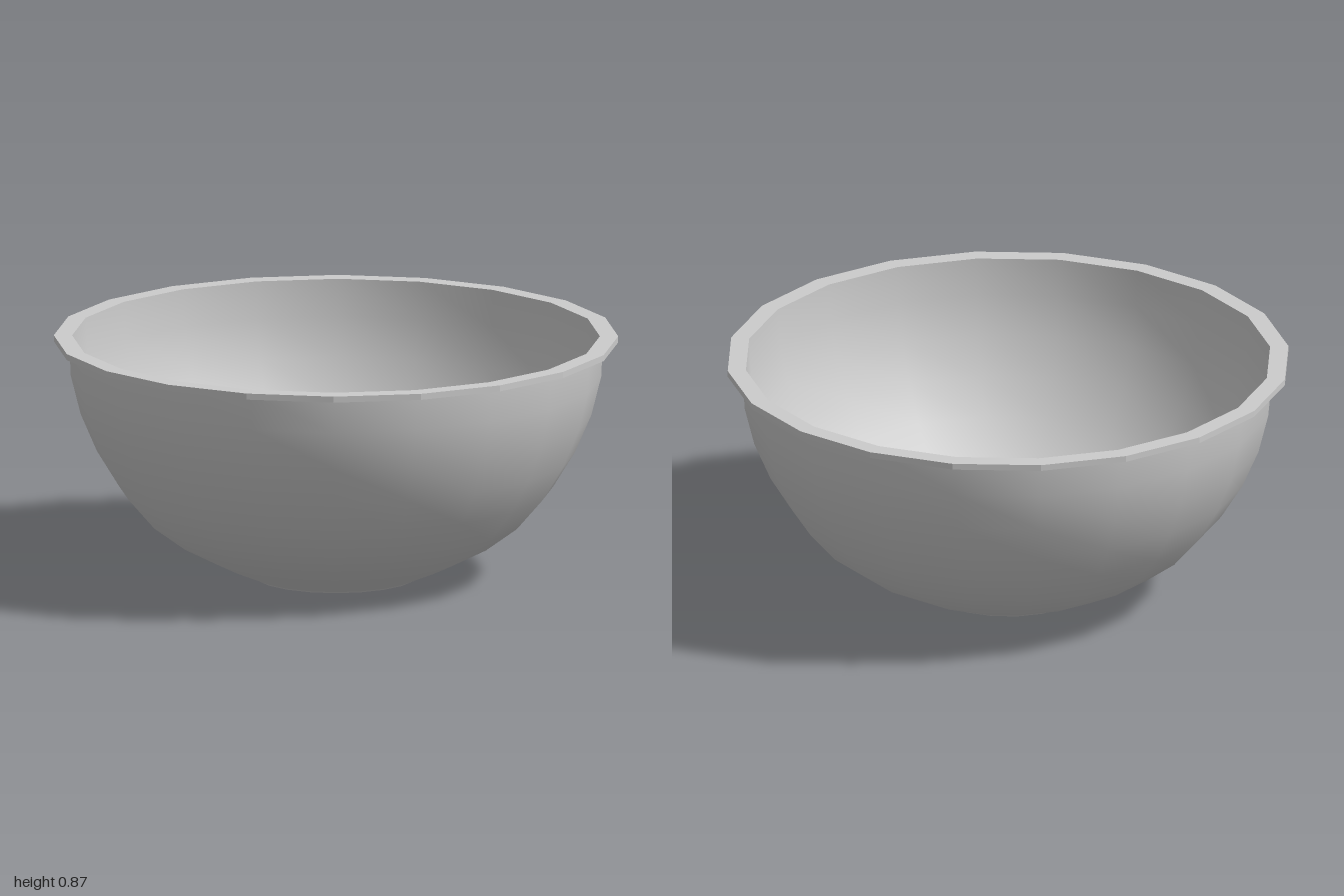
import * as THREE from 'three';

const SIDES = 20;

// Revolve a profile of [radius, height] pairs around the y axis
function revolve(name, profile, flatShading = false) {
  const points = profile.map(([r, y]) => new THREE.Vector2(r, y));
  const material = new THREE.MeshStandardMaterial({ color: 0xcccccc, flatShading });
  const mesh = new THREE.Mesh(new THREE.LatheGeometry(points, SIDES), material);
  mesh.name = name;
  return mesh;
}

export function createModel() {
  const group = new THREE.Group();
  group.name = 'bowl';

  // Curved wall, from the foot up to the underside of the rim
  const wall = [
    [0.295, 0.005], [0.425, 0.06], [0.56, 0.13], [0.675, 0.215], [0.77, 0.325],
    [0.847, 0.45], [0.905, 0.585], [0.94, 0.725], [0.945, 0.85],
  ];
  group.add(revolve('outerWall', wall));

  // Flat underside
  group.add(revolve('foot', [[0, 0], [0.29, 0], [0.295, 0.005]], true));

  // Thin flat lip: underside, edge and top
  group.add(revolve('rim', [[0.945, 0.848], [1, 0.848], [1, 0.87], [0.935, 0.87]], true));

  // Inside surface: the wall drawn in by its thickness, running down to the floor
  const inner = wall.slice(0, -1).reverse().map(([r, y]) => [r - 0.012, y + 0.01]);
  group.add(revolve('innerWall', [[0.935, 0.87], ...inner, [0, 0.015]]));

  return group;
}
